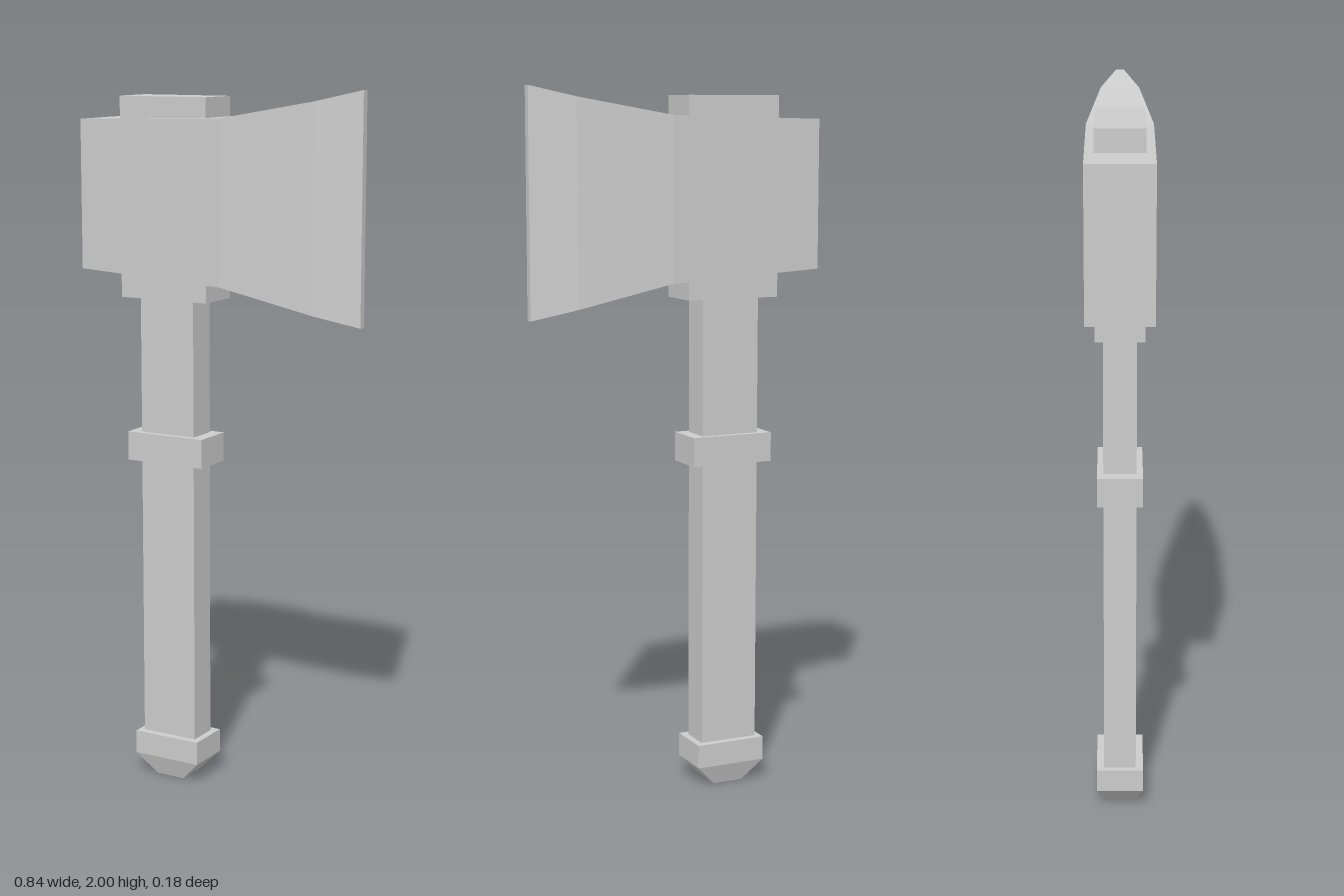
import * as THREE from 'three';

const material = new THREE.MeshStandardMaterial({ color: 0xcccccc, flatShading: true });

function addMesh(group, name, geometry) {
  const mesh = new THREE.Mesh(geometry, material);
  mesh.name = name;
  group.add(mesh);
  return mesh;
}

// Box given by its x and y ranges and its half depth
function addBlock(group, name, x0, x1, y0, y1, halfZ) {
  const mesh = addMesh(group, name, new THREE.BoxGeometry(x1 - x0, y1 - y0, 2 * halfZ));
  mesh.position.set((x0 + x1) / 2, (y0 + y1) / 2, 0);
}

// Closed solid through four-cornered loops, each counterclockwise seen from the far end
function loft(loops) {
  const positions = [];
  const quad = (a, b, c, d) => positions.push(...a, ...b, ...c, ...a, ...c, ...d);
  for (let k = 0; k < loops.length - 1; k++) {
    const a = loops[k], b = loops[k + 1];
    for (let i = 0; i < 4; i++) {
      const j = (i + 1) % 4;
      quad(a[i], a[j], b[j], b[i]);
    }
  }
  quad(...[...loops[0]].reverse());
  quad(...loops[loops.length - 1]);
  const geometry = new THREE.BufferGeometry();
  geometry.setAttribute('position', new THREE.Float32BufferAttribute(positions, 3));
  geometry.computeVertexNormals();
  return geometry;
}

export function createModel() {
  const axe = new THREE.Group();
  axe.name = 'axe';

  // Handle with its band and the collar that passes through the head
  addBlock(axe, 'handle', -0.255, -0.083, 0.1, 1.45, 0.045);
  addBlock(axe, 'handleBand', -0.291, -0.047, 0.945, 1.028, 0.062);
  addBlock(axe, 'headCollar', -0.305, -0.029, 1.415, 1.975, 0.066);

  // Pommel tapering to a small flat foot: y, x range, half depth
  const pommel = [
    [0, -0.211, -0.122, 0.045],
    [0.06, -0.271, -0.063, 0.066],
    [0.128, -0.271, -0.063, 0.066],
  ];
  addMesh(axe, 'pommel', loft(pommel.map(([y, x0, x1, z]) =>
    [[x0, y, -z], [x0, y, z], [x1, y, z], [x1, y, -z]])));

  // Head flaring and thinning from the poll to the edge: x, y range, half depth
  const head = [
    [-0.42, 1.492, 1.91, 0.091],
    [0.028, 1.466, 1.921, 0.091],
    [0.295, 1.402, 1.97, 0.054],
    [0.418, 1.372, 2, 0.011],
  ];
  addMesh(axe, 'axeHead', loft(head.map(([x, y0, y1, z]) =>
    [[x, y0, -z], [x, y1, -z], [x, y1, z], [x, y0, z]])));

  return axe;
}
